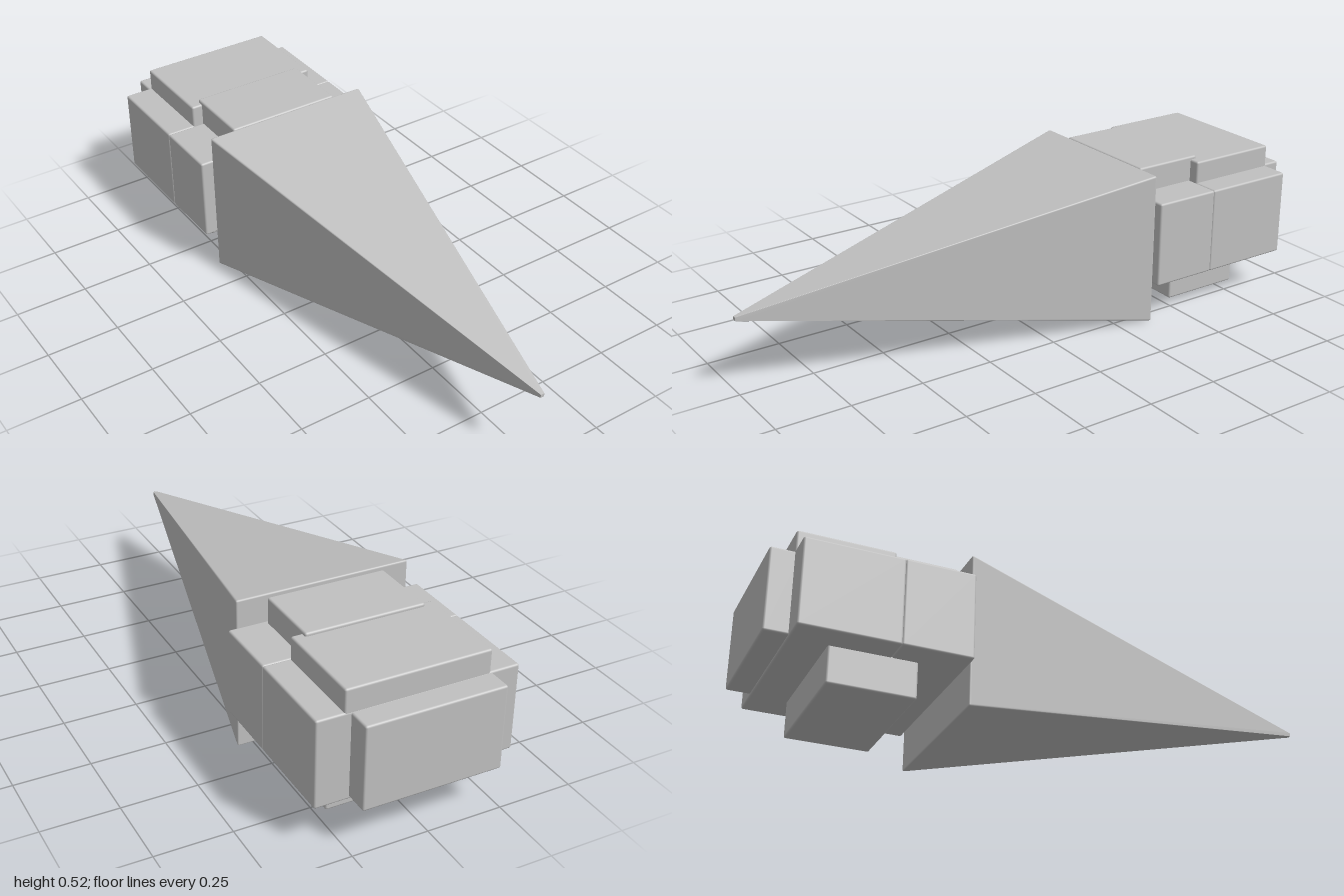
import * as THREE from 'three';
import { RoundedBoxGeometry } from 'three/addons/geometries/RoundedBoxGeometry.js';
import { mergeVertices } from 'three/addons/utils/BufferGeometryUtils.js';

const BEVEL = 0.007;

export function createModel() {
  const model = new THREE.Group();
  model.name = 'model';
  const grey = new THREE.MeshStandardMaterial({ color: 0xc0c0c0 });
  grey.name = 'light grey';

  // Softly bevelled block given by its limits on each axis
  function block(name, [x0, x1], [y0, y1], [z0, z1]) {
    const geometry = new RoundedBoxGeometry(x1 - x0, y1 - y0, z1 - z0, 2, BEVEL);
    const mesh = new THREE.Mesh(geometry, grey);
    mesh.name = name;
    mesh.position.set((x0 + x1) / 2, (y0 + y1) / 2, (z0 + z1) / 2);
    model.add(mesh);
    return mesh;
  }

  // Long pyramid: a bevelled block narrowed to a tiny blunt tip
  const spike = block('spike', [-0.293, 0.305], [0, 0.523], [-0.37, 1]);
  let geometry = spike.geometry;
  const position = geometry.attributes.position;
  for (let i = 0; i < position.count; i++) {
    const t = position.getZ(i) / 1.37 + 0.5;
    const s = 1 - 0.978 * t;
    position.setXY(i, position.getX(i) * s, position.getY(i) * s);
  }
  geometry.deleteAttribute('normal');
  geometry.deleteAttribute('uv');
  geometry.clearGroups();
  geometry = mergeVertices(geometry, 1e-6);
  geometry.computeVertexNormals();
  spike.geometry = geometry;

  // Body behind the spike
  block('frontBody', [-0.333, 0.332], [0.138, 0.431], [-0.602, -0.37]);
  block('rearBody', [-0.333, 0.332], [0.138, 0.431], [-0.922, -0.6]);

  // Plates on the top, back and underside
  block('frontTopPlate', [-0.197, 0.206], [0.41, 0.517], [-0.625, -0.38]);
  block('rearTopPlate', [-0.235, 0.242], [0.41, 0.506], [-0.921, -0.6]);
  block('backPlate', [-0.241, 0.221], [0.145, 0.427], [-1, -0.9]);
  block('bottomPlate', [-0.236, 0.226], [0.016, 0.16], [-0.8, -0.515]);

  return model;
}
